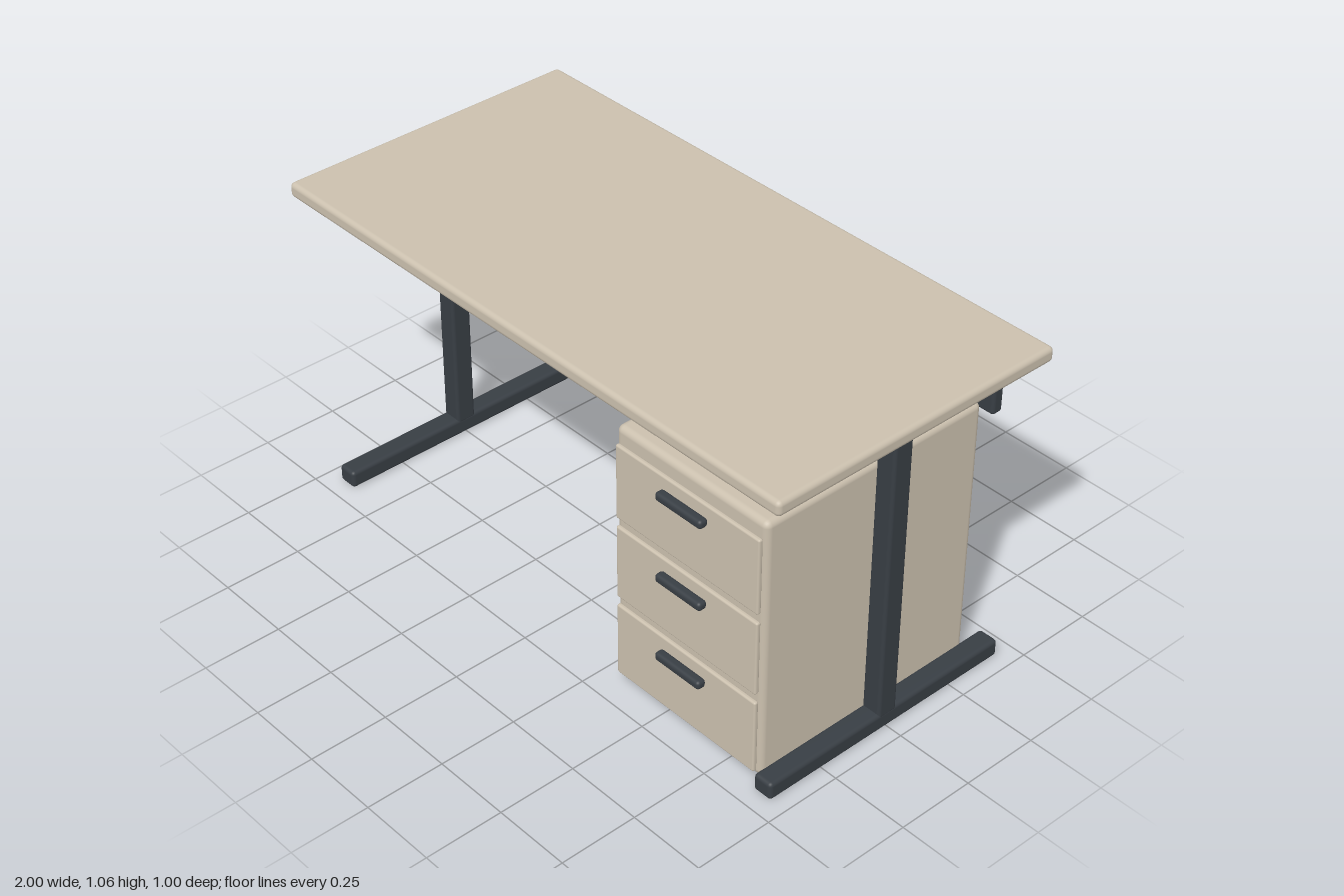
import * as THREE from 'three';
import { RoundedBoxGeometry } from 'three/addons/geometries/RoundedBoxGeometry.js';

export function createModel() {
  const desk = new THREE.Group();
  desk.name = 'desk';

  const laminate = new THREE.MeshStandardMaterial({ color: 0xcbc0ae });
  laminate.name = 'beige laminate';
  const steel = new THREE.MeshStandardMaterial({ color: 0x383e44 });
  steel.name = 'dark steel';

  // Rounded box given by its min and max along each axis
  function block(parent, name, material, [x0, x1], [y0, y1], [z0, z1], radius) {
    const geometry = new RoundedBoxGeometry(x1 - x0, y1 - y0, z1 - z0, 3, radius);
    const mesh = new THREE.Mesh(geometry, material);
    mesh.name = name;
    mesh.position.set((x0 + x1) / 2, (y0 + y1) / 2, (z0 + z1) / 2);
    parent.add(mesh);
    return mesh;
  }

  block(desk, 'tabletop', laminate, [-1, 1], [1.013, 1.061], [-0.5, 0.5], 0.015);

  // T-shaped leg frames on both sides
  for (const [side, label] of [[1, 'left'], [-1, 'right']]) {
    const frame = new THREE.Group();
    frame.name = label + 'LegFrame';
    frame.position.x = side * 0.914;
    block(frame, 'post', steel, [-0.033, 0.033], [0.042, 1.014], [-0.034, 0.034], 0.01);
    block(frame, 'foot', steel, [-0.033, 0.033], [0, 0.057], [-0.443, 0.443], 0.012);
    desk.add(frame);
  }

  // Rear modesty panel
  block(desk, 'modestyPanel', steel, [-0.886, 0.886], [0.817, 0.986], [-0.447, -0.409], 0.01);

  // Drawer pedestal
  const pedestal = new THREE.Group();
  pedestal.name = 'pedestal';
  desk.add(pedestal);
  block(pedestal, 'cabinet', laminate, [0.314, 0.886], [0.03, 0.889], [-0.363, 0.423], 0.02);
  for (let i = 0; i < 3; i++) {
    const y = 0.172 + i * 0.272;
    block(pedestal, 'drawerFront', laminate, [0.327, 0.873], [y - 0.122, y + 0.122], [0.422, 0.437], 0.006);
    block(pedestal, 'drawerHandle', steel, [0.511, 0.687], [y + 0.058, y + 0.086], [0.436, 0.467], 0.011);
  }

  return desk;
}
